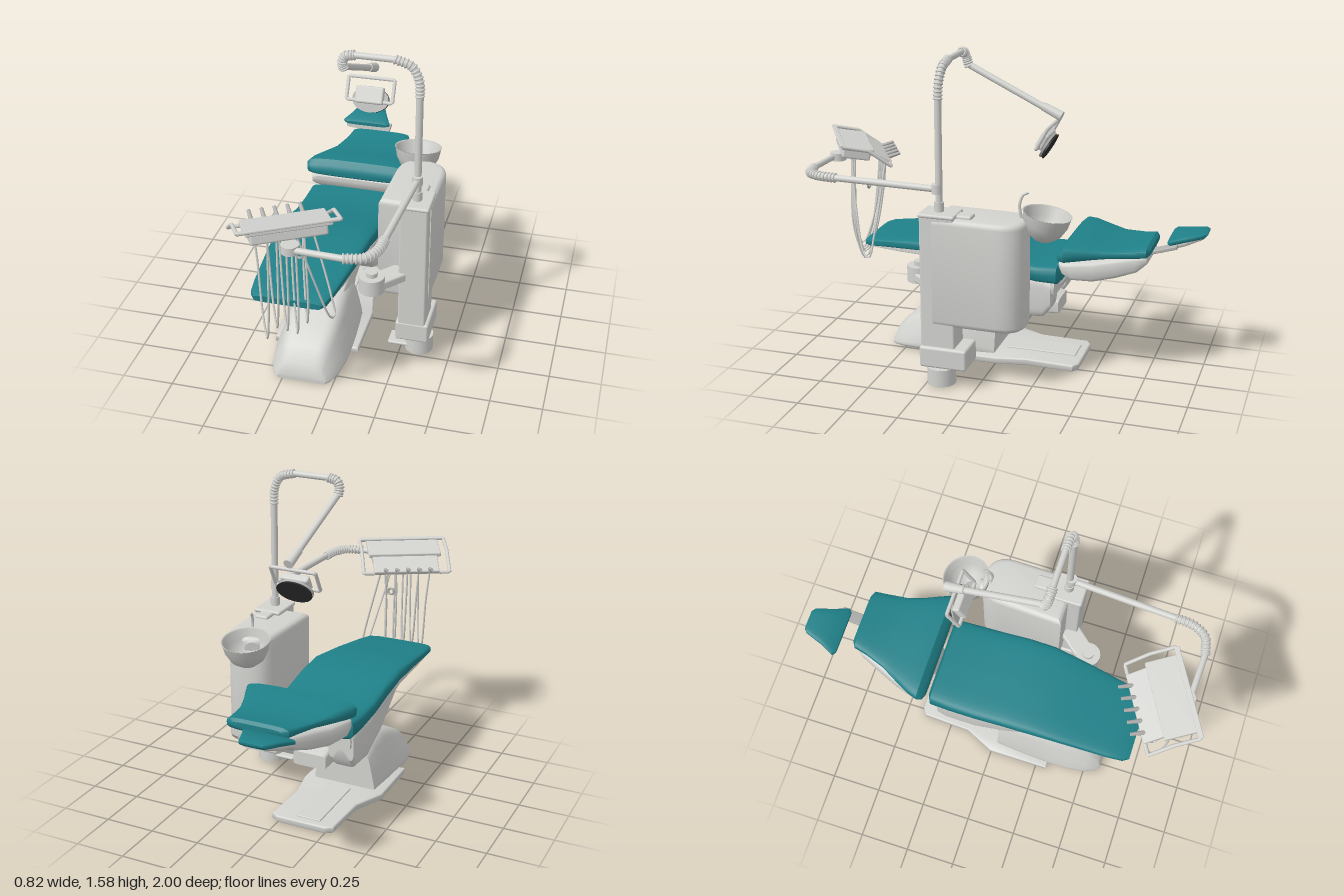
import * as THREE from 'three';
import { toCreasedNormals } from 'three/addons/utils/BufferGeometryUtils.js';
import { RoundedBoxGeometry } from 'three/addons/geometries/RoundedBoxGeometry.js';

const mat = (name, color) => Object.assign(new THREE.MeshStandardMaterial({ color }), { name });
const V = (x, y, z) => new THREE.Vector3(x, y, z);

export function createModel() {
  const root = new THREE.Group();
  const shell = mat('light grey shell', 0xd2d2cf);
  const teal = mat('teal upholstery', 0x1f8088);
  const metal = mat('mid grey metal', 0xb0b1af);
  const dark = mat('dark lamp', 0x2b2c2d);
  const bowlMat = mat('bowl grey', 0xcacac7);
  bowlMat.side = THREE.DoubleSide;

  const add = (name, geo, m, x = 0, y = 0, z = 0, parent = root) => {
    const mesh = new THREE.Mesh(geo, m);
    mesh.name = name;
    mesh.position.set(x, y, z);
    parent.add(mesh);
    return mesh;
  };
  const box = (name, w, h, d, m, x, y, z, parent, r = 0.01) =>
    add(name, new RoundedBoxGeometry(w, h, d, 2, Math.min(r, w / 2.1, h / 2.1, d / 2.1)), m, x, y, z, parent);
  const cyl = (name, r0, r1, h, m, x, y, z, parent) =>
    add(name, new THREE.CylinderGeometry(r0, r1, h, 28), m, x, y, z, parent);
  const tube = (name, pts, r, m, parent, smooth = true, seg = 28) => {
    let path = new THREE.CatmullRomCurve3(pts);
    if (!smooth) {
      path = new THREE.CurvePath();
      for (let i = 1; i < pts.length; i++) path.add(new THREE.LineCurve3(pts[i - 1], pts[i]));
    }
    return add(name, new THREE.TubeGeometry(path, seg, r, 10), m, 0, 0, 0, parent);
  };
  // Straight capped rod between two points
  const rod = (name, a, b, r, m, parent, r1 = r) => {
    const mesh = cyl(name, r1, r, a.distanceTo(b), m, 0, 0, 0, parent);
    mesh.position.copy(a).lerp(b, 0.5);
    mesh.quaternion.setFromUnitVectors(V(0, 1, 0), b.clone().sub(a).normalize());
    return mesh;
  };
  // Flexible elbow: a bent tube with ribs
  const ribbed = (name, pts, r, n) => {
    const g = new THREE.Group();
    g.name = name;
    root.add(g);
    const path = new THREE.CatmullRomCurve3(pts);
    add('elbow core', new THREE.TubeGeometry(path, 24, r, 12), shell, 0, 0, 0, g);
    for (let i = 0; i <= n; i++) {
      const ring = add('rib', new THREE.TorusGeometry(r, r * 0.28, 8, 18), shell, 0, 0, 0, g);
      ring.position.copy(path.getPointAt(i / n));
      ring.quaternion.setFromUnitVectors(V(0, 0, 1), path.getTangentAt(i / n));
    }
  };
  // Loft through soft rectangular sections [z, xLeft, xRight, yBottom, yTop, topWidthRatio], z ascending
  const loft = (name, secs, m, e = 0.4, n = 32) => {
    const pos = [], idx = [];
    const pw = (v) => Math.sign(v) * Math.abs(v) ** e;
    secs.forEach(([z, xl, xr, y0, y1, taper = 1]) => {
      for (let j = 0; j < n; j++) {
        const a = (j / n) * Math.PI * 2, s = pw(Math.sin(a));
        const w = ((xr - xl) / 2) * (1 + (taper - 1) * (s + 1) / 2);
        pos.push((xl + xr) / 2 + w * pw(Math.cos(a)), (y0 + y1) / 2 + ((y1 - y0) / 2) * s, z);
      }
    });
    const last = (secs.length - 1) * n, c = pos.length / 3;
    for (const [z, xl, xr, y0, y1] of [secs[0], secs[secs.length - 1]]) pos.push((xl + xr) / 2, (y0 + y1) / 2, z);
    for (let j = 0; j < n; j++) {
      const k = (j + 1) % n;
      for (let i = 0; i < last; i += n) idx.push(i + j, i + k, i + n + k, i + j, i + n + k, i + n + j);
      idx.push(c, k, j, c + 1, last + j, last + k);
    }
    const g = new THREE.BufferGeometry();
    g.setAttribute('position', new THREE.Float32BufferAttribute(pos, 3));
    g.setIndex(idx);
    return add(name, toCreasedNormals(g, 0.7), m);
  };
  // Outline in (x, -z) extruded upward with softened edges
  const plate = (name, shape, h, bevel, m, y) => {
    const g = new THREE.ExtrudeGeometry(shape, { depth: h - 2 * bevel, bevelSize: bevel, bevelThickness: bevel, bevelSegments: 4, curveSegments: 12 });
    g.rotateX(-Math.PI / 2);
    return add(name, toCreasedNormals(g, 0.6), m, 0, y + bevel, 0);
  };

  // Floor base, front housing and lifting arm
  const foot = new THREE.Shape([[-0.25, 0.41], [0.0, 0.41], [0.03, 0.39], [0.02, 0.15], [0.05, 0.0], [0.05, -0.3],
    [-0.36, -0.3], [-0.36, 0.0], [-0.29, 0.15], [-0.28, 0.39]].map(([x, y]) => new THREE.Vector2(x, y)));
  plate('basePlate', foot, 0.035, 0.008, shell, 0);
  box('basePlateRib', 0.13, 0.012, 0.36, shell, -0.145, 0.036, -0.2, root, 0.004);
  loft('baseHousing', [
    [0.02, -0.33, 0.02, 0, 0.24, 0.7], [0.1, -0.34, 0.03, 0, 0.295, 0.7], [0.2, -0.35, 0.04, 0, 0.29, 0.66],
    [0.3, -0.355, 0.045, 0, 0.25, 0.62], [0.4, -0.355, 0.045, 0, 0.205, 0.58], [0.5, -0.34, 0.03, 0, 0.15, 0.56],
    [0.56, -0.31, 0.0, 0, 0.09, 0.6], [0.58, -0.28, -0.03, 0, 0.03, 0.9]], shell, 0.36);
  loft('liftArm', [[-0.3, -0.2, -0.03, 0.27, 0.34], [-0.15, -0.2, -0.03, 0.26, 0.385], [0, -0.2, -0.03, 0.22, 0.385],
    [0.12, -0.2, -0.03, 0.1, 0.33], [0.2, -0.19, -0.04, 0.1, 0.28]], shell, 0.25);

  // Seat carrier with two side lobes
  for (const [side, xl, xr] of [['right', -0.34, -0.21], ['left', -0.04, 0.09]])
    loft(side + 'SeatLobe', [[-0.29, xl, xr, 0.34, 0.47], [-0.25, xl, xr, 0.29, 0.49], [-0.1, xl, xr, 0.28, 0.5],
      [0.05, xl, xr, 0.35, 0.53], [0.25, xl, xr, 0.51, 0.56]], shell, 0.4);
  loft('seatCarrier', [[-0.305, -0.33, 0.08, 0.4, 0.485], [-0.1, -0.34, 0.09, 0.4, 0.5],
    [0.05, -0.34, 0.09, 0.45, 0.54], [0.25, -0.35, 0.085, 0.52, 0.57]], shell, 0.3);

  // Seat and leg rest
  loft('seatCushion', [
    [-0.335, -0.32, 0.08, 0.48, 0.545], [-0.32, -0.35, 0.105, 0.465, 0.57], [-0.22, -0.355, 0.11, 0.47, 0.565],
    [-0.08, -0.36, 0.11, 0.49, 0.575], [0.06, -0.365, 0.105, 0.525, 0.61], [0.2, -0.37, 0.095, 0.555, 0.63],
    [0.4, -0.365, 0.065, 0.553, 0.612], [0.6, -0.358, 0.03, 0.542, 0.588], [0.68, -0.35, 0.01, 0.533, 0.578],
    [0.71, -0.33, -0.01, 0.536, 0.568]], teal, 0.4);
  loft('legRestShell', [[0.1, -0.35, 0.08, 0.52, 0.57], [0.25, -0.36, 0.08, 0.535, 0.575], [0.5, -0.35, 0.04, 0.532, 0.562],
    [0.66, -0.34, 0, 0.53, 0.545]], shell, 0.3);

  // Backrest
  loft('backrestShell', [
    [-0.745, -0.22, 0.05, 0.6, 0.645], [-0.7, -0.25, 0.08, 0.56, 0.65], [-0.6, -0.29, 0.1, 0.525, 0.64],
    [-0.5, -0.33, 0.13, 0.505, 0.625], [-0.4, -0.36, 0.15, 0.51, 0.62], [-0.36, -0.36, 0.15, 0.54, 0.61],
    [-0.34, -0.34, 0.13, 0.575, 0.605]], shell, 0.42);
  loft('backrestCushion', [
    [-0.76, -0.21, 0.045, 0.65, 0.68], [-0.745, -0.235, 0.075, 0.635, 0.693], [-0.68, -0.25, 0.085, 0.63, 0.682],
    [-0.58, -0.285, 0.1, 0.625, 0.672], [-0.5, -0.33, 0.125, 0.615, 0.682], [-0.42, -0.372, 0.158, 0.605, 0.695],
    [-0.37, -0.388, 0.178, 0.6, 0.695], [-0.345, -0.38, 0.172, 0.61, 0.67], [-0.335, -0.35, 0.14, 0.62, 0.65]], teal, 0.5);
  const hinge = box('backrestBracket', 0.14, 0.022, 0.16, metal, -0.12, 0.485, -0.345, root, 0.006);
  hinge.rotation.x = 0.96;

  // Headrest and its link
  loft('headrestShell', [[-0.98, -0.235, -0.135, 0.69, 0.72], [-0.9, -0.275, -0.09, 0.66, 0.7],
    [-0.83, -0.295, -0.065, 0.645, 0.68]], shell, 0.5);
  loft('headrestCushion', [[-1, -0.235, -0.135, 0.715, 0.725], [-0.985, -0.252, -0.118, 0.7, 0.73],
    [-0.9, -0.28, -0.085, 0.68, 0.715], [-0.835, -0.312, -0.055, 0.668, 0.7], [-0.82, -0.295, -0.07, 0.672, 0.69]], teal, 0.5);
  const link = box('headrestLink', 0.06, 0.018, 0.17, metal, -0.08, 0.645, -0.79, root, 0.005);
  link.rotation.x = 0.3;

  // Water unit cabinet
  const cab = new THREE.Shape();
  cab.moveTo(0.16, -0.18);
  cab.lineTo(0.36, -0.18);
  cab.lineTo(0.365, 0.1);
  cab.bezierCurveTo(0.365, 0.18, 0.33, 0.203, 0.27, 0.203);
  cab.bezierCurveTo(0.2, 0.203, 0.175, 0.18, 0.172, 0.1);
  plate('cabinet', cab, 0.535, 0.027, shell, 0.31);
  box('cabinetTopCatch', 0.07, 0.03, 0.09, shell, 0.31, 0.845, 0.07);

  // Rinsing bowl and spout
  const bowl = add('rinsingBowl', new THREE.LatheGeometry([[0.001, -0.133], [0.045, -0.125], [0.082, -0.095], [0.106, -0.048],
    [0.115, 0], [0.118, 0.004], [0.109, 0], [0.097, -0.045], [0.072, -0.086], [0.035, -0.108], [0.001, -0.111]]
    .map(([x, y]) => new THREE.Vector2(x, y)), 40), bowlMat, 0.215, 0.865, -0.305);
  bowl.rotation.x = -0.18;
  cyl('bowlDrain', 0.028, 0.028, 0.006, metal, 0, -0.106, 0, bowl);
  rod('bowlNeck', V(0.24, 0.8, -0.16), V(0.22, 0.79, -0.23), 0.04, shell);
  tube('bowlSpout', [V(0.24, 0.83, -0.19), V(0.245, 0.91, -0.18), V(0.24, 0.955, -0.195), V(0.235, 0.97, -0.22)], 0.007, shell);

  // Column, its foot and the side cup holder
  box('column', 0.135, 0.76, 0.17, shell, 0.315, 0.48, 0.185);
  box('columnCap', 0.145, 0.02, 0.18, shell, 0.315, 0.855, 0.185);
  box('columnLowerBox', 0.165, 0.105, 0.235, shell, 0.318, 0.152, 0.155, root, 0.012);
  cyl('columnFoot', 0.07, 0.07, 0.085, shell, 0.34, 0.05, 0.18);
  box('columnFootFlange', 0.14, 0.016, 0.1, shell, 0.26, 0.04, 0.18);
  cyl('cupHolder', 0.062, 0.062, 0.08, shell, 0.14, 0.48, 0.36);
  cyl('cupHolderKnob', 0.028, 0.028, 0.025, shell, 0.14, 0.53, 0.36);
  const bracket = box('cupHolderArm', 0.18, 0.045, 0.1, shell, 0.2, 0.47, 0.29);
  bracket.rotation.y = 0.85;

  // Lamp pole, elbows and boom
  rod('lampPole', V(0.315, 0.86, 0.19), V(0.315, 1.41, 0.19), 0.017, shell);
  cyl('poleCollar', 0.023, 0.023, 0.05, shell, 0.315, 0.885, 0.19);
  ribbed('poleElbow', [V(0.315, 1.4, 0.19), V(0.31, 1.47, 0.187), V(0.275, 1.535, 0.182), V(0.2, 1.56, 0.18)], 0.018, 13);
  rod('lampTopTube', V(0.2, 1.56, 0.18), V(0, 1.56, 0.178), 0.015, shell);
  ribbed('boomElbow', [V(0.01, 1.56, 0.178), V(-0.03, 1.55, 0.177), V(-0.046, 1.52, 0.172), V(-0.045, 1.485, 0.16)], 0.019, 9);
  rod('lampBoom', V(-0.045, 1.495, 0.17), V(-0.018, 1.3, -0.25), 0.016, shell);
  rod('boomEnd', V(-0.021, 1.318, -0.215), V(-0.014, 1.277, -0.308), 0.02, shell, root, 0.024);

  // Lamp head with handle frame
  const lamp = new THREE.Group();
  lamp.name = 'lampHead';
  lamp.position.set(-0.017, 1.177, -0.235);
  lamp.rotation.x = -0.5;
  root.add(lamp);
  tube('lampHandleFrame', [V(-0.05, -0.045, 0), V(-0.115, -0.045, 0), V(-0.115, 0.07, 0), V(0.115, 0.07, 0),
    V(0.115, -0.045, 0), V(0.05, -0.045, 0)], 0.009, shell, lamp, false, 60);
  box('lampBody', 0.14, 0.085, 0.04, shell, 0, -0.015, 0, lamp);
  for (const [name, r0, r1, m, z] of [['lampHousing', 0.09, 0.092, metal, -0.027], ['lampReflector', 0.092, 0.086, dark, -0.037]]) {
    const disc = cyl(name, r0, r1, 0.01, m, 0, -0.035, z, lamp);
    disc.rotation.x = -Math.PI / 2;
    disc.scale.z = 0.7;
  }

  // Swing arm carrying the instrument tray
  cyl('swingCollar', 0.025, 0.025, 0.045, shell, 0.315, 0.972, 0.2);
  rod('swingArm', V(0.315, 0.97, 0.19), V(0.283, 0.97, 0.74), 0.016, shell);
  ribbed('swingElbow', [V(0.283, 0.97, 0.73), V(0.275, 0.97, 0.81), V(0.235, 0.97, 0.88), V(0.15, 0.97, 0.905)], 0.019, 14);
  rod('swingForearm', V(0.16, 0.97, 0.905), V(-0.09, 0.97, 0.895), 0.015, shell);
  cyl('trayPivot', 0.04, 0.04, 0.04, shell, -0.09, 0.97, 0.88);

  // Instrument tray: level rear body, sloping front panel, bent side handles
  const tray = new THREE.Group();
  tray.name = 'instrumentTray';
  tray.position.set(-0.15, 1.035, 0.77);
  tray.rotation.set(-0.18, 0.52, 0, 'YXZ');
  root.add(tray);
  box('trayTop', 0.38, 0.022, 0.16, shell, 0, 0.003, 0.045, tray, 0.006);
  box('trayPod', 0.34, 0.05, 0.14, shell, 0, -0.028, 0.045, tray);
  box('trayBackRail', 0.45, 0.012, 0.025, shell, 0, 0.018, 0.127, tray, 0.004);
  const holder = box('instrumentPanel', 0.34, 0.024, 0.12, shell, 0, -0.028, -0.075, tray, 0.006);
  holder.rotation.x = -0.35;
  for (const s of [-1, 1])
    tube('trayHandle', [V(s * 0.17, -0.05, -0.125), V(s * 0.224, -0.05, -0.125), V(s * 0.224, 0.012, 0),
      V(s * 0.224, 0.015, 0.125), V(s * 0.17, 0.015, 0.125)], 0.009, shell, tray, false, 40);

  // Instruments and their hanging hoses
  const hoses = new THREE.Group();
  hoses.name = 'instrumentHoses';
  hoses.position.set(-0.15, 0, 0.77);
  hoses.rotation.y = 0.52;
  root.add(hoses);
  for (let i = 0; i < 5; i++) {
    const u = -0.12 + i * 0.058, low = 0.43 + 0.025 * ((i * 2) % 3);
    rod('instrument', V(u, -0.05, -0.09), V(u, -0.005, -0.178), 0.012, metal, tray, 0.008);
    tube('hose', [V(u, 0.955, -0.1), V(u * 0.9, 0.8, -0.085), V(u * 0.85, low + 0.1, -0.04), V(u * 0.8, low, 0.01),
      V(u * 0.78, low + 0.12, 0.05), V(u * 0.7, 0.97, 0.05)], 0.005, shell, hoses, true, 40);
  }
  tube('longHose', [V(-0.08, 0.97, 0.8), V(-0.02, 0.72, 0.76), V(0.035, 0.5, 0.7), V(0.045, 0.49, 0.67), V(0.02, 0.6, 0.65), V(-0.08, 0.96, 0.62)],
    0.005, shell, root, true, 40);
  add('hoseRing', new THREE.TorusGeometry(0.016, 0.006, 8, 20), metal, -0.1, 0.83, 0.72);
  return root;
}
